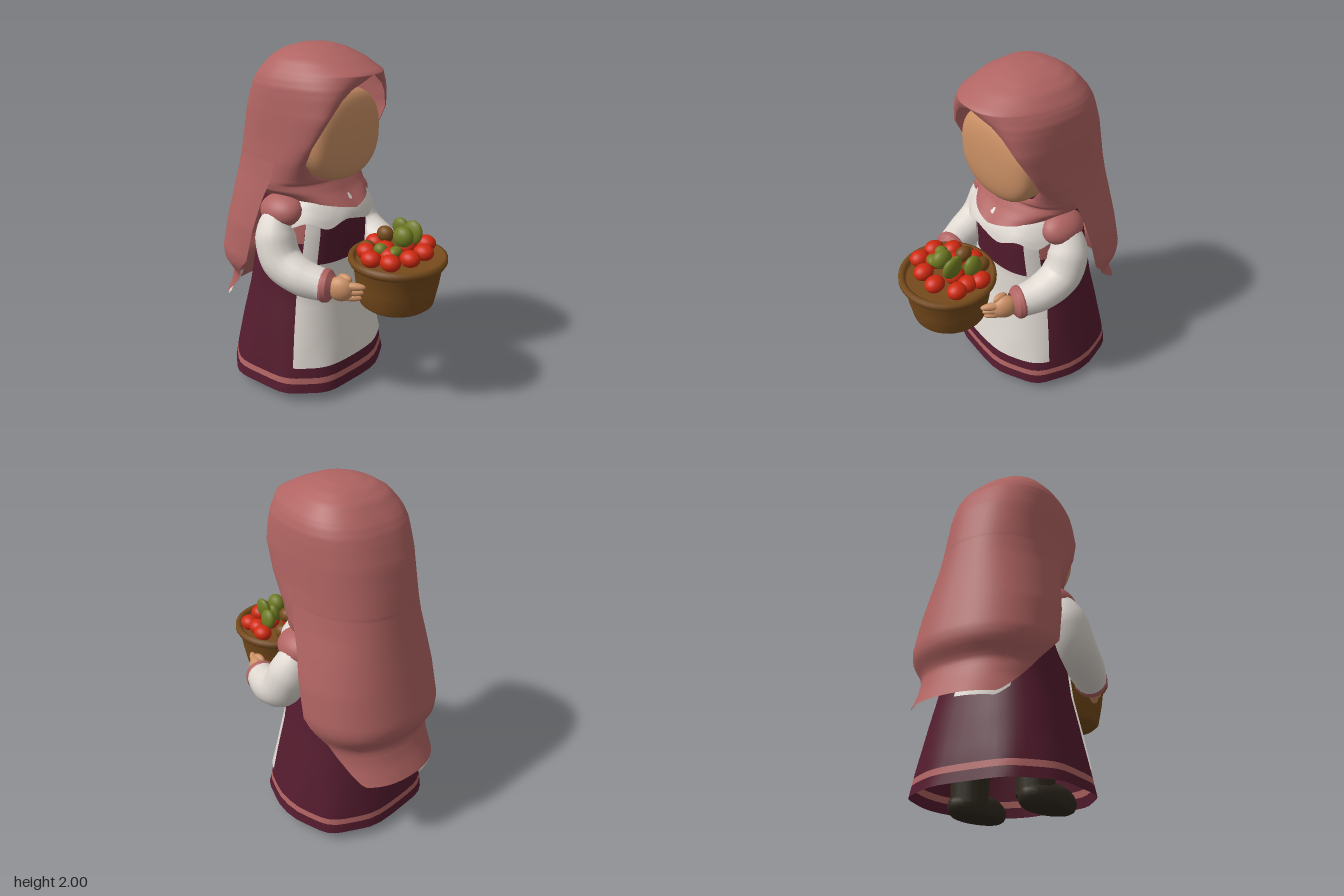
import * as THREE from 'three';
import { mergeVertices } from 'three/addons/utils/BufferGeometryUtils.js';

const colours = {
  veil: 0xb06462, dress: 0x541c2e, linen: 0xe0d9d2, skin: 0xcb9065, wicker: 0x774b1c,
  tomato: 0xd02a10, olive: 0x6f7a22, boots: 0x30291f,
};
const M = {};
for (const [name, color] of Object.entries(colours)) {
  M[name] = new THREE.MeshStandardMaterial({ color, side: THREE.DoubleSide });
  M[name].name = name;
}
const pw = (v, p) => Math.sign(v) * Math.abs(v) ** p;

function add(parent, name, geo, mat, pos = [0, 0, 0], scale = [1, 1, 1], rot = [0, 0, 0]) {
  const m = new THREE.Mesh(geo, mat);
  m.name = name;
  m.position.set(...pos);
  m.scale.set(...scale);
  m.rotation.set(...rot);
  parent.add(m);
}

// Smooth surface through a grid point(u, v), u and v in 0..1
function loft(nu, nv, point) {
  const pos = [], idx = [];
  for (let j = 0; j <= nv; j++)
    for (let i = 0; i <= nu; i++) pos.push(...point(i / nu, j / nv));
  for (let j = 0; j < nv; j++)
    for (let i = 0; i < nu; i++) {
      const a = j * (nu + 1) + i, b = a + nu + 1;
      idx.push(a, b, a + 1, b, b + 1, a + 1);
    }
  let g = new THREE.BufferGeometry();
  g.setAttribute('position', new THREE.Float32BufferAttribute(pos, 3));
  g.setIndex(idx);
  g = mergeVertices(g, 1e-4);
  g.computeVertexNormals();
  return g;
}

// Linear lookup by height in rows [y, ...values], highest row first
function atHeight(rows, y) {
  let i = 0;
  while (i < rows.length - 2 && rows[i + 1][0] > y) i++;
  const a = rows[i], b = rows[i + 1];
  const t = THREE.MathUtils.clamp((a[0] - y) / (a[0] - b[0]), 0, 1);
  return a.map((v, k) => v + (b[k] - v) * t);
}

// Dress cross-sections: height, half width, front z, back z
const dressRows = [
  [1.25, 0.17, 0.03, -0.3], [1.18, 0.26, 0.1, -0.38], [1.1, 0.285, 0.135, -0.41], [1.0, 0.295, 0.14, -0.43],
  [0.8, 0.315, 0.125, -0.46], [0.6, 0.345, 0.13, -0.49], [0.4, 0.39, 0.165, -0.535],
  [0.2, 0.43, 0.2, -0.575], [0.06, 0.455, 0.222, -0.595],
];
function dressPoint(angle, y, off) {
  const [, rx, zf, zb] = atHeight(dressRows, y);
  const wave = 0.008 * Math.sin(angle * 9) * Math.max(0, 1 - y / 0.35);
  const s = pw(Math.sin(angle), 0.8), c = pw(Math.cos(angle), 0.8);
  return [(rx + off + wave) * s, y, (zf + zb) / 2 + ((zf - zb) / 2 + off + wave) * c];
}
const shell = (y0, y1, a0, a1, off, n = 14) =>
  loft(48, n, (u, v) => dressPoint(a0 + (a1 - a0) * u, y0 + (y1 - y0) * v, off));

// Tube whose radius follows a list
function taperTube(points, radii) {
  const curve = new THREE.CatmullRomCurve3(points.map((p) => new THREE.Vector3(...p)));
  const n = 24, sides = 16, g = new THREE.TubeGeometry(curve, n, 1, sides);
  const p = g.attributes.position, v = new THREE.Vector3();
  for (let i = 0; i <= n; i++) {
    const c = curve.getPointAt(i / n), f = (i / n) * (radii.length - 1);
    const k = Math.min(Math.floor(f), radii.length - 2);
    const r = radii[k] + (radii[k + 1] - radii[k]) * (f - k);
    for (let j = 0; j <= sides; j++) {
      const q = i * (sides + 1) + j;
      v.fromBufferAttribute(p, q).sub(c).multiplyScalar(r).add(c);
      p.setXYZ(q, v.x, v.y, v.z);
    }
  }
  g.deleteAttribute('uv');
  g.deleteAttribute('normal');
  const m = mergeVertices(g);
  m.computeVertexNormals();
  return m;
}

// Hood cross-sections: height, half width, back z, opening edge x, opening edge z, z of widest point
const hoodRows = [
  [2.0, 0, -0.1, 0, -0.1, -0.1], [1.993, 0.09, -0.2, 0, -0.01, -0.11], [1.97, 0.165, -0.275, 0, 0.07, -0.13],
  [1.93, 0.23, -0.34, 0, 0.165, -0.13], [1.87, 0.28, -0.395, 0, 0.275, -0.13],
  [1.84, 0.297, -0.42, 0.05, 0.257, -0.13], [1.8, 0.312, -0.445, 0.13, 0.23, -0.13],
  [1.75, 0.318, -0.467, 0.185, 0.21, -0.13], [1.65, 0.325, -0.505, 0.25, 0.175, -0.13],
  [1.5, 0.33, -0.54, 0.285, 0.09, -0.13], [1.4, 0.338, -0.56, 0.272, 0.035, -0.13],
  [1.33, 0.34, -0.55, 0.215, 0.03, -0.15], [1.29, 0.342, -0.54, 0.12, 0.05, -0.16],
  [1.27, 0.342, -0.53, 0, 0.065, -0.17], [1.2, 0.335, -0.51, 0, 0.105, -0.18], [1.12, 0.28, -0.5, 0, 0.172, -0.18],
];
function hoodPoint(u, v) {
  const f = v * (hoodRows.length - 1), i = Math.min(Math.floor(f), hoodRows.length - 2), t = f - i;
  const [y, w, zb, xf, zf, zc] = hoodRows[i].map((a, k) => a + (hoodRows[i + 1][k] - a) * t);
  const s = u * 2 - 1, h = 1 - Math.abs(s);
  const a = Math.min(h * 2, 1) * Math.PI / 2, b = Math.max(h * 2 - 1, 0) * Math.PI / 2;
  const x = h < 0.5 ? xf + (w - xf) * Math.sin(a) ** 0.9 : w * Math.max(Math.cos(b), 0) ** 0.85;
  const z = h < 0.5 ? zc + (zf - zc) * Math.max(Math.cos(a), 0) ** 0.9 : zc + (zb - zc) * Math.sin(b) ** 0.85;
  // The neck edge rises towards the shoulders
  return [s < 0 ? -x : x, y + Math.max(0, 1.27 - y) * 1.6 * Math.min(x, 0.3), z];
}

// Cape cross-sections: height, half width, side edge z, back z
const capeRows = [
  [1.4, 0.338, -0.13, -0.56], [1.3, 0.35, -0.15, -0.58], [1.18, 0.37, -0.2, -0.605], [1.0, 0.4, -0.25, -0.645],
  [0.8, 0.41, -0.3, -0.69], [0.74, 0.4, -0.31, -0.685], [0.65, 0.35, -0.32, -0.635],
  [0.55, 0.345, -0.33, -0.67], [0.44, 0.36, -0.34, -0.725],
];
function capePoint(u, v, inset = 0) {
  const s = u * 2 - 1, b = (1 - Math.abs(s)) * Math.PI / 2, sb = Math.sin(b) ** 0.85;
  const hem = 0.8 - 0.35 * Math.min(1, sb * 1.3);
  const y = 1.4 + (hem - 1.4) * v;
  const [, w, zs, zb] = atHeight(capeRows, y);
  const x = (w - inset) * Math.max(Math.cos(b), 0) ** 0.85;
  return [Math.sign(s) * x, y, zs + (zb + inset - zs) * sb];
}

export function createModel() {
  const g = new THREE.Group();
  const ball = new THREE.SphereGeometry(1, 24, 16), PI = Math.PI;

  // Dress with a stripe above the hem
  add(g, 'dress', shell(1.25, 0.15, -PI, PI, 0, 30), M.dress);
  add(g, 'hemStripe', shell(0.15, 0.115, -PI, PI, 0, 1), M.veil);
  add(g, 'hem', shell(0.115, 0.06, -PI, PI, 0, 2), M.dress);

  // Apron, straps and collar
  add(g, 'apron', shell(0.82, 0.215, -1.09, 1.09, 0.009, 24), M.linen);
  add(g, 'collar', loft(48, 6, (u, v) => {
    const a = (u * 2 - 1) * 1.4;
    return dressPoint(a, 1.22 - v * (0.16 + 0.018 * Math.sin(a * 8)), 0.02 + 0.025 * v);
  }), M.linen);
  for (const s of [1, -1]) {
    add(g, 'apronStrap', shell(1.12, 0.8, s * 0.72, s * 1.05, 0.009), M.linen);
    add(g, 'scarfEnd', shell(1.2, 0.95, s * 1.05, s * 1.45, 0.02), M.veil);
  }

  // Veil with a pale lining showing at the hem
  add(g, 'hood', loft(64, 60, hoodPoint), M.veil);
  add(g, 'cape', loft(48, 36, (u, v) => capePoint(u, v)), M.veil);
  add(g, 'capeLining', loft(14, 4, (u, v) => capePoint(0.2 + 0.25 * u, 0.92 + 0.1 * v, 0.008)), M.linen);

  // Blank face with a flattened front and squarish outline
  const head = new THREE.SphereGeometry(1, 40, 28).rotateX(PI / 2);
  const hp = head.attributes.position;
  for (let i = 0; i < hp.count; i++)
    hp.setXYZ(i, pw(hp.getX(i), 0.88), pw(hp.getY(i), 0.85), pw(hp.getZ(i), 0.35));
  head.computeVertexNormals();
  add(g, 'face', head, M.skin, [0, 1.525, -0.03], [0.285, 0.255, 0.21]);

  // Arms, hands and boots
  for (const s of [1, -1]) {
    const side = new THREE.Group();
    side.name = s > 0 ? 'leftLimbs' : 'rightLimbs';
    g.add(side);
    const X = (pts) => pts.map(([x, y, z]) => [s * x, y, z]);
    add(side, 'shoulder', ball, M.veil, [s * 0.295, 1.125, -0.12], [0.105, 0.085, 0.135], [0, 0, -s * 0.5]);
    add(side, 'sleeve', taperTube(X([[0.295, 1.11, -0.13], [0.35, 1.0, -0.12], [0.37, 0.86, -0.06],
      [0.36, 0.795, 0.07], [0.325, 0.77, 0.2]]), [0.085, 0.115, 0.115, 0.105, 0.088]), M.linen);
    add(side, 'cuff', taperTube(X([[0.33, 0.77, 0.18], [0.318, 0.77, 0.215], [0.305, 0.77, 0.25]]),
      [0.084, 0.095, 0.09, 0.06]), M.veil);
    add(side, 'hand', ball, M.skin, [s * 0.295, 0.765, 0.29], [0.05, 0.07, 0.075], [0, -s * 0.4, 0]);
    for (let k = 0; k < 3; k++)
      add(side, 'finger', ball, M.skin, [s * 0.272, 0.79 - k * 0.035, 0.36 - k * 0.012],
        [0.022, 0.022, 0.065], [0, -s * 0.45, 0]);
    add(side, 'thumb', ball, M.skin, [s * 0.27, 0.82, 0.3], [0.022, 0.025, 0.045]);

    const boot = new THREE.SphereGeometry(1, 24, 16), bp = boot.attributes.position;
    for (let i = 0; i < bp.count; i++) bp.setY(i, Math.max(bp.getY(i), -0.5));
    boot.computeVertexNormals();
    add(side, 'boot', boot, M.boots, [s * 0.215, 0.045, -0.11], [0.118, 0.09, 0.21]);
    add(side, 'bootLeg', new THREE.CylinderGeometry(0.1, 0.1, 0.3, 16), M.boots, [s * 0.2, 0.2, -0.2]);
  }

  // Basket with a slightly uneven rim
  const basket = new THREE.Group();
  basket.name = 'basket';
  basket.position.set(0, 0, 0.455);
  g.add(basket);
  const profile = [[0, 0.622], [0.19, 0.622], [0.212, 0.64], [0.235, 0.75], [0.25, 0.855], [0.268, 0.866],
    [0.279, 0.885], [0.277, 0.908], [0.258, 0.915], [0.24, 0.9], [0.235, 0.87], [0, 0.88]];
  add(basket, 'basketBody', new THREE.LatheGeometry(profile.map((p) => new THREE.Vector2(...p)), 40),
    M.wicker, [0, 0, 0], [0.99, 1, 0.97]);

  // Tomatoes: x, z
  const tomatoes = [[-0.12, -0.125], [-0.19, -0.045], [-0.03, -0.065], [-0.17, 0.065], [-0.06, 0.115],
    [0.06, 0.125], [0.18, 0.065], [0.19, -0.085], [0.02, -0.165], [0.07, 0.0], [-0.1, 0.01], [0.17, -0.01]];
  for (const [x, z] of tomatoes)
    add(basket, 'tomato', ball, M.tomato, [x, 0.935, z], [0.051, 0.046, 0.058]);

  // Round and long green vegetables: position, scale, tilt
  const greens = [
    [[0, 1.02, 0.03], [0.045, 0.058, 0.06], 0], [[-0.11, 0.965, -0.04], [0.035, 0.035, 0.038], 0],
    [[-0.08, 0.96, 0.035], [0.045, 0.03, 0.035], 0], [[0.095, 1.015, 0.03], [0.028, 0.068, 0.06], -0.1],
    [[0.14, 1.005, -0.075], [0.032, 0.06, 0.055], 0.15], [[0.05, 0.99, -0.02], [0.032, 0.06, 0.04], -0.3],
  ];
  for (const [p, sc, t] of greens) add(basket, 'greenVegetable', ball, M.olive, p, sc, [0, 0, t]);
  for (const p of [[0.1, 0.945, -0.16], [0.02, 1.0, -0.1], [-0.05, 0.92, -0.17]])
    add(basket, 'brownVegetable', ball, M.wicker, p, [0.04, 0.045, 0.05]);
  return g;
}
